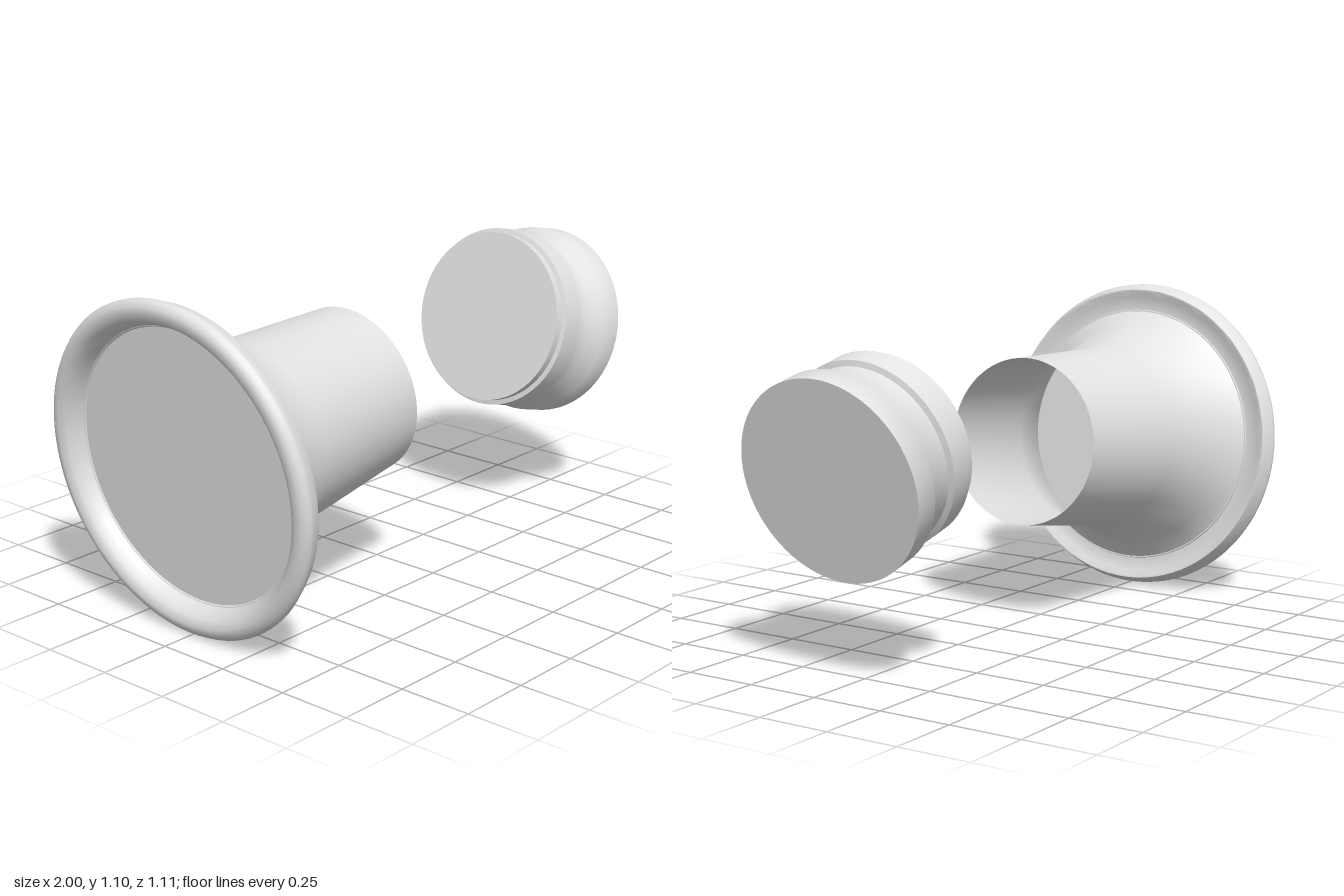
import * as THREE from 'three';
import { toCreasedNormals } from 'three/addons/utils/BufferGeometryUtils.js';

const lightGrey = new THREE.MeshStandardMaterial({ color: 0xe3e3e3, side: THREE.DoubleSide });

// Turned part: profile as [radius, distance along the axis]
function turned(name, profile) {
  const points = profile.map(([r, s]) => new THREE.Vector2(r, s));
  const geometry = toCreasedNormals(new THREE.LatheGeometry(points, 96), 0.78);
  const mesh = new THREE.Mesh(geometry, lightGrey);
  mesh.name = name;
  return mesh;
}

// Group whose local +y axis points along +x, tilted up by the given angle
function tilted(name, x, y, degrees, ...parts) {
  const group = new THREE.Group();
  group.name = name;
  group.add(...parts);
  group.position.set(x, y, 0);
  group.rotation.z = THREE.MathUtils.degToRad(degrees - 90);
  return group;
}

export function createModel() {
  const model = new THREE.Group();
  model.name = 'flaredSleeveAndPlug';

  // Rounded rim around a deeply sunken end disc, with a shallow recess behind
  const flange = turned('flange', [
    [0, -0.752], [0.457, -0.752], [0.468, -0.78], [0.485, -0.805], [0.51, -0.82],
    [0.533, -0.815], [0.546, -0.806], [0.553, -0.795], [0.552, -0.783], [0.532, -0.741],
    [0.525, -0.741], [0.505, -0.756], [0.457, -0.756],
  ]);

  // Flared tube, open at its narrow end
  const sleeve = turned('flaredSleeve', [
    [0.457, -0.756], [0.394, -0.702], [0.318, -0.464], [0.285, 0.004],
  ]);

  // Closed plug with a raised band, a groove and a wider head
  const plug = turned('plug', [
    [0, -0.332], [0.297, -0.332], [0.297, -0.302], [0.313, -0.299], [0.314, -0.213],
    [0.296, -0.206], [0.295, -0.131], [0.33, -0.088], [0.332, 0], [0, 0],
  ]);

  model.add(
    tilted('sleeveAssembly', -0.136, 0.628, 5.5, flange, sleeve),
    tilted('plugAssembly', 0.919, 0.647, -13.8, plug),
  );
  return model;
}
